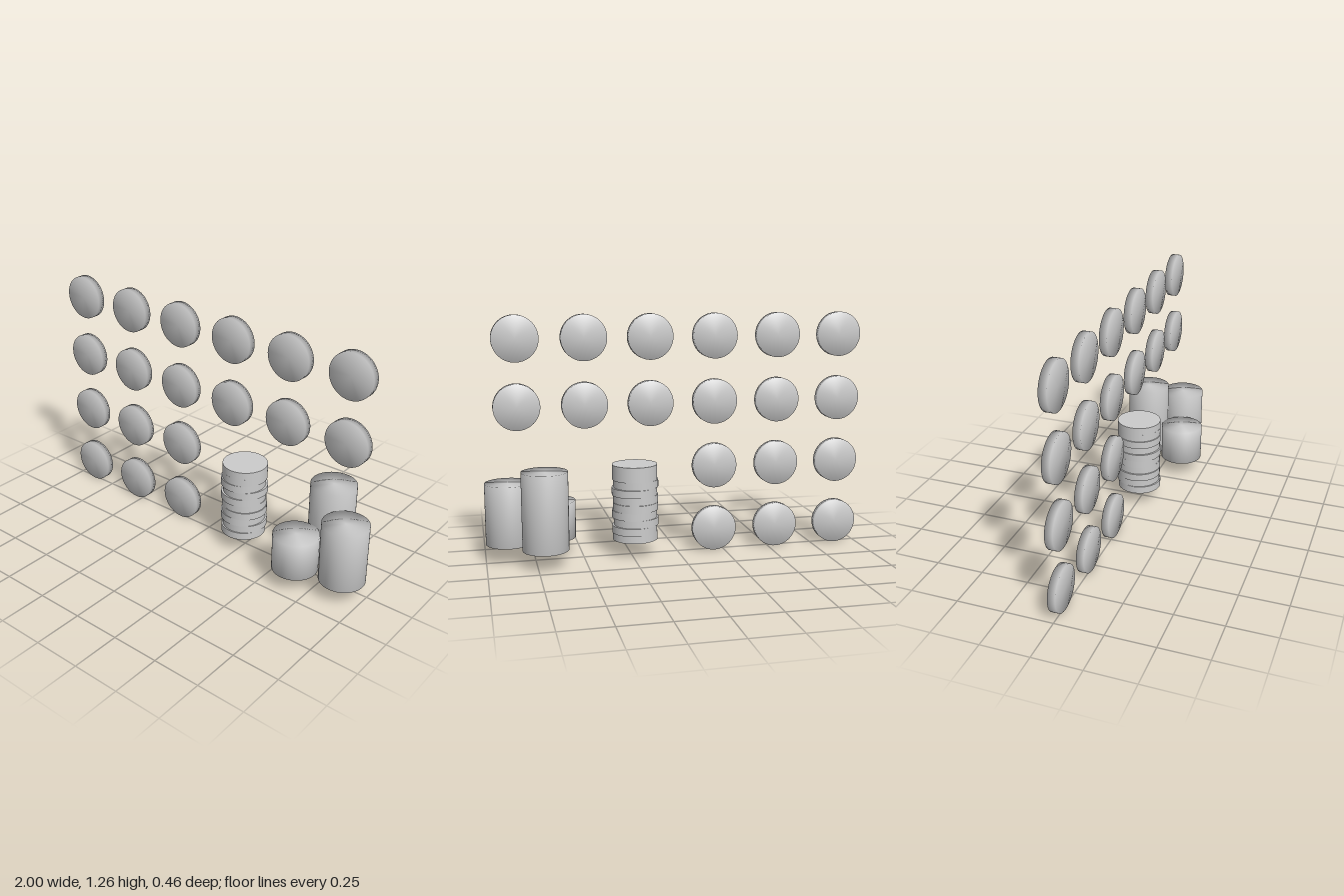
import * as THREE from 'three';
import { mergeVertices } from 'three/addons/utils/BufferGeometryUtils.js';

const RADIUS = 0.1175, THICK = 0.04, SIDES = 64;
const material = new THREE.MeshStandardMaterial({ color: 0xcccccc });

// Cylinder whose caps and wall share normals, for a softly domed look
function softCylinder(height) {
  const g = new THREE.CylinderGeometry(RADIUS, RADIUS, height, SIDES);
  g.deleteAttribute('normal');
  g.deleteAttribute('uv');
  const welded = mergeVertices(g, 1e-4);
  welded.computeVertexNormals();
  return welded;
}

function add(parent, name, geometry, x, y, z) {
  const mesh = new THREE.Mesh(geometry, material);
  mesh.name = name;
  mesh.position.set(x, y, z);
  parent.add(mesh);
  return mesh;
}

export function createModel() {
  const model = new THREE.Group();
  model.name = 'coinSet';

  // Upright coins: two short rows below, two full rows above
  const wall = new THREE.Group();
  wall.name = 'coinWall';
  const coin = softCylinder(THICK).rotateX(Math.PI / 2);
  const step = 0.342;
  [3, 3, 6, 6].forEach((count, row) => {
    for (let i = 0; i < count; i++) {
      add(wall, 'standingCoin', coin, -0.8825 + i * step, RADIUS + row * step, -0.008);
    }
  });
  model.add(wall);

  // Stack of ten flat coins, each nudged a little
  const stack = new THREE.Group();
  stack.name = 'coinStack';
  const flatCoin = new THREE.CylinderGeometry(RADIUS, RADIUS, THICK, SIDES);
  const base = 0.087;
  for (let i = 0; i < 10; i++) {
    const dx = 0.005 * Math.sin(i * 2.4), dz = 0.004 * Math.cos(i * 3.7);
    add(stack, 'stackedCoin', flatCoin, 0.229 + dx, base + (i + 0.5) * THICK, -0.011 + dz);
  }
  model.add(stack);

  // Three solid columns of different height: x, z, height
  const columns = new THREE.Group();
  columns.name = 'columns';
  for (const [name, x, z, h] of [
    ['shortColumn', 0.645, 0.114, 0.198],
    ['mediumColumn', 0.881, 0.049, 0.319],
    ['tallColumn', 0.706, -0.114, 0.402],
  ]) add(columns, name, softCylinder(h), x, base + h / 2, z);
  model.add(columns);

  return model;
}
